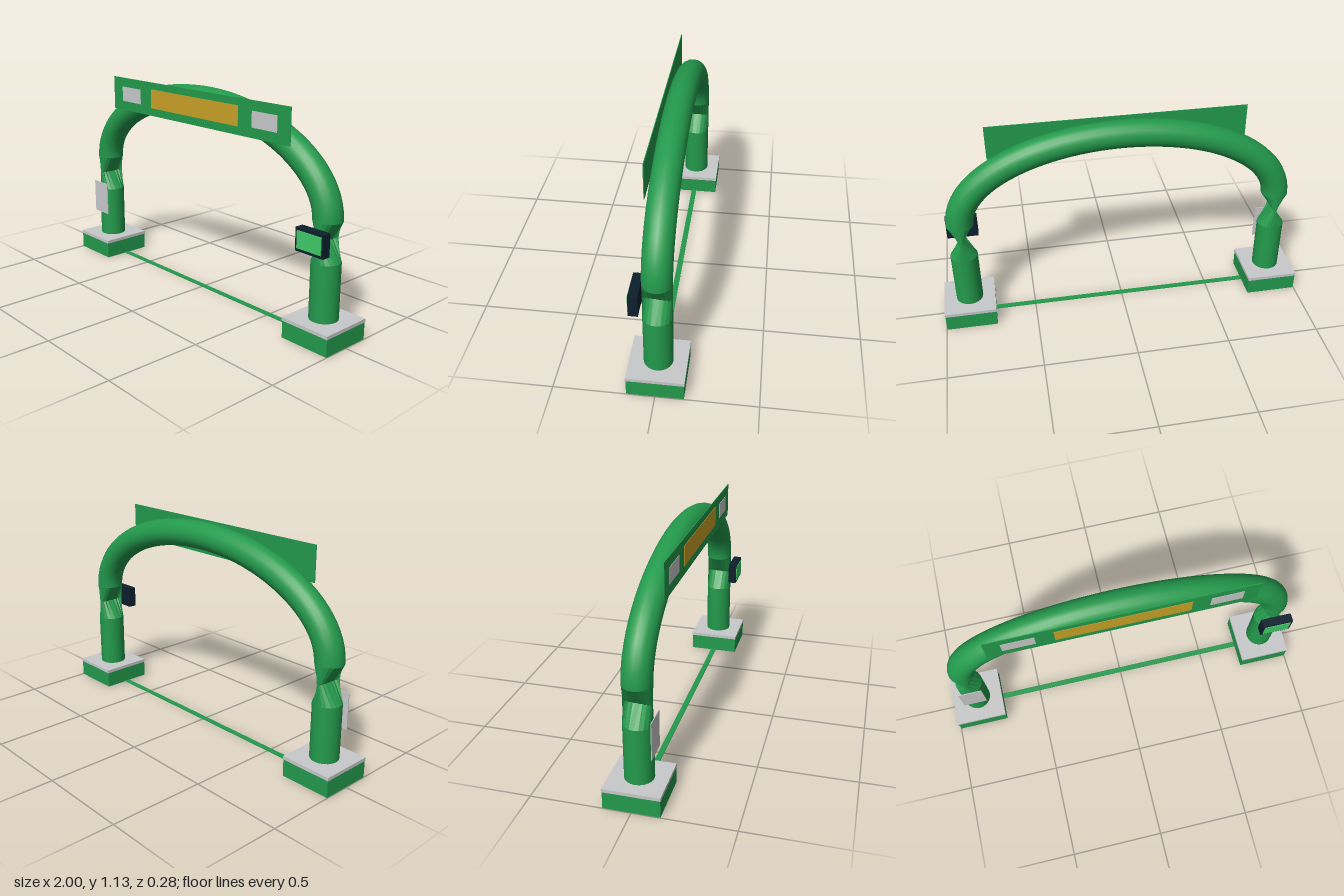
import * as THREE from 'three';

const mat = (name, color, side = THREE.FrontSide) => {
  const m = new THREE.MeshStandardMaterial({ color, side });
  m.name = name;
  return m;
};

export function createModel() {
  const green = mat('green', 0x239a4c, THREE.DoubleSide);
  const grey = mat('light grey', 0xc8c9ca);
  const gold = mat('gold', 0xc9a227);
  const navy = mat('dark navy', 0x0d1f2d);
  const screenGreen = mat('screen green', 0x40c968);

  const model = new THREE.Group();
  model.name = 'archGate';

  const add = (name, geometry, material, x = 0, y = 0, z = 0) => {
    const mesh = new THREE.Mesh(geometry, material);
    mesh.name = name;
    mesh.position.set(x, y, z);
    model.add(mesh);
    return mesh;
  };
  // Box given by its limits on each axis
  const box = (name, material, [x0, x1], [y0, y1], [z0, z1]) =>
    add(name, new THREE.BoxGeometry(x1 - x0, y1 - y0, z1 - z0), material,
      (x0 + x1) / 2, (y0 + y1) / 2, (z0 + z1) / 2);

  const R = 0.073, LEG_X = 0.86, SIDES = 20;

  // Pinched joint: the top ring is mirrored in x, so the walls cross halfway up
  const pinchedJoint = () => {
    const geo = new THREE.CylinderGeometry(R, R, 0.2, SIDES, 1, true);
    const p = geo.attributes.position;
    for (let i = 0; i < p.count; i++) if (p.getY(i) > 0) p.setX(i, -p.getX(i));
    const faceted = geo.toNonIndexed();
    faceted.computeVertexNormals();
    return faceted;
  };

  // Feet, legs and joints on both sides
  for (const [side, s] of [['left', 1], ['right', -1]]) {
    const x = s * LEG_X;
    box(side + 'Base', green, [x - 0.138, x + 0.138], [0, 0.09], [-0.14, 0.14]);
    box(side + 'BasePlate', grey, [x - 0.14, x + 0.14], [0.09, 0.108], [-0.142, 0.142]);
    add(side + 'Leg', new THREE.CylinderGeometry(R, R, 0.3, SIDES, 1, true), green, x, 0.25, 0);
    add(side + 'PinchedJoint', pinchedJoint(), green, x, 0.5, 0);
  }

  // Half-elliptical arch tube
  class ArchCurve extends THREE.Curve {
    getPoint(t, target = new THREE.Vector3()) {
      const a = Math.PI * t;
      return target.set(-LEG_X * Math.cos(a), 0.6 + 0.453 * Math.sin(a), 0);
    }
  }
  add('arch', new THREE.TubeGeometry(new ArchCurve(), 64, R, SIDES, false), green);

  // Thin strip joining the feet on the ground
  box('groundStrip', green, [-0.73, 0.73], [0, 0.004], [-0.015, 0.015]);

  // Sign board with its painted panels
  box('signBoard', green, [-0.685, 0.685], [0.93, 1.115], [0.077, 0.081]);
  box('signCentrePanel', gold, [-0.342, 0.342], [0.973, 1.077], [0.081, 0.083]);
  for (const s of [1, -1]) {
    const x = s * 0.52;
    box(s > 0 ? 'signLeftPanel' : 'signRightPanel', grey,
      [x - 0.083, x + 0.083], [0.982, 1.064], [0.081, 0.083]);
  }

  // Notice plate on the right leg
  box('noticePlate', grey, [-0.924, -0.796], [0.25, 0.442], [0.078, 0.082]);

  // Display unit on the left leg
  box('displayCase', navy, [0.773, 0.94], [0.459, 0.575], [0.078, 0.124]);
  box('displayScreen', screenGreen, [0.784, 0.929], [0.474, 0.562], [0.124, 0.128]);

  return model;
}
